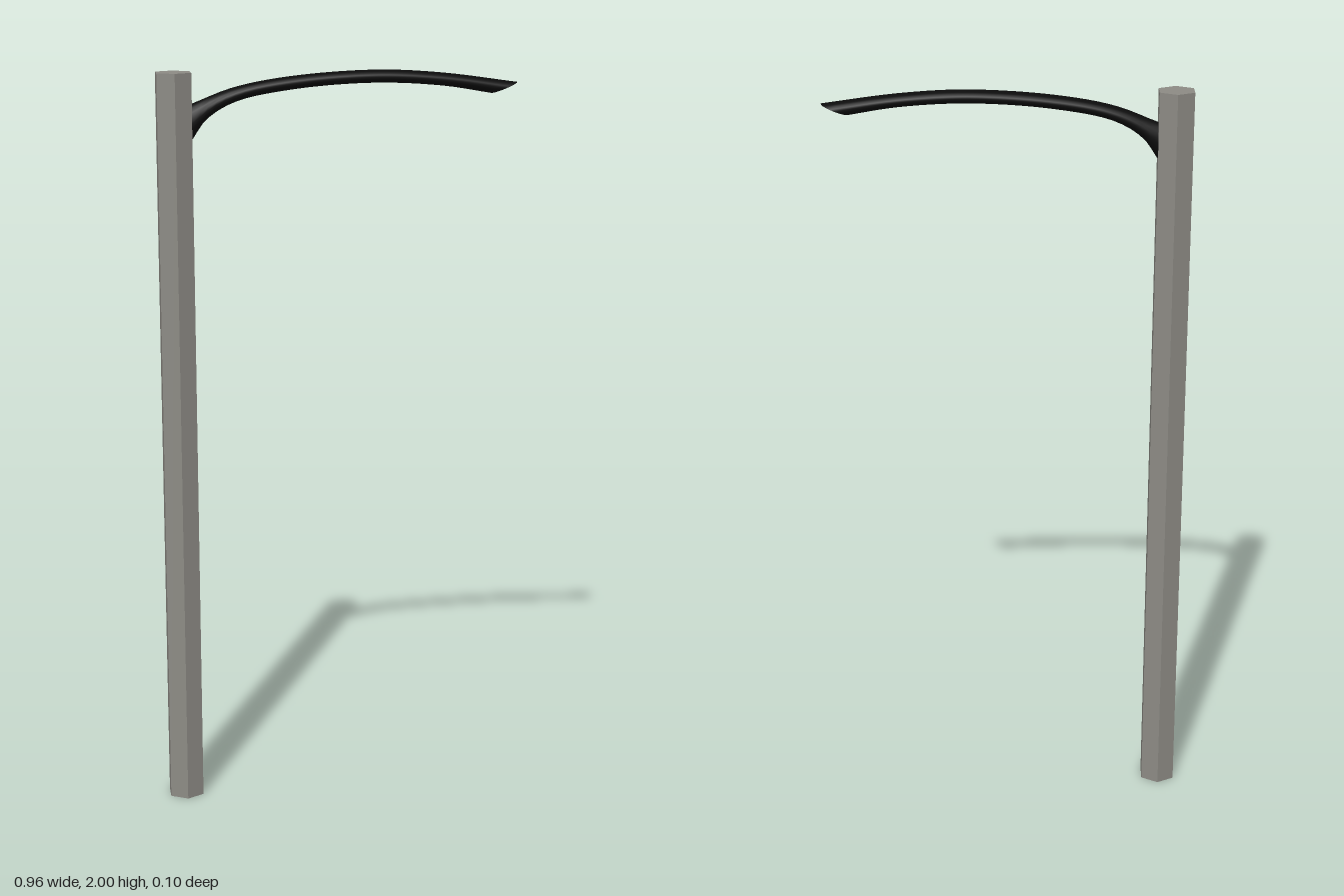
import * as THREE from 'three';

const SIDES = 20, STEPS = 32, HALF_WIDTH = 0.028;

// Smooth curve through a few side-profile points
const profile = (pts) =>
  new THREE.CatmullRomCurve3(pts.map(([x, y]) => new THREE.Vector3(x, y, 0)), false, 'centripetal');

// Curved arm: elliptical rings spanning an upper and a lower profile line
function armGeometry() {
  const upper = profile([[-0.39, 1.918], [-0.28, 1.959], [-0.13, 1.986], [0.1, 2], [0.275, 1.99], [0.475, 1.963]]);
  const lower = profile([[-0.39, 1.822], [-0.352, 1.876], [-0.28, 1.92], [-0.13, 1.951], [0.09, 1.966], [0.275, 1.956], [0.405, 1.935]]);
  // parameters are matched so that both lines advance together
  const pos = [], index = [];
  for (let i = 0; i <= STEPS; i++) {
    const t = i / STEPS;
    const top = upper.getPointAt(t), bottom = lower.getPointAt(t);
    const mid = top.clone().add(bottom).multiplyScalar(0.5);
    const half = top.sub(bottom).multiplyScalar(0.5);
    for (let j = 0; j < SIDES; j++) {
      const a = (j / SIDES) * Math.PI * 2;
      const c = Math.cos(a);
      pos.push(mid.x + half.x * c, mid.y + half.y * c, HALF_WIDTH * Math.sin(a));
    }
  }
  for (let i = 0; i < STEPS; i++) {
    for (let j = 0; j < SIDES; j++) {
      const a = i * SIDES + j, b = i * SIDES + (j + 1) % SIDES;
      index.push(a, b, a + SIDES, b, b + SIDES, a + SIDES);
    }
  }
  // end caps with their own vertices, so the rims stay sharp
  const last = STEPS * SIDES * 3;
  const rims = [pos.slice(0, SIDES * 3), pos.slice(last, last + SIDES * 3)];
  rims.forEach((rim, end) => {
    const base = pos.length / 3;
    pos.push(...rim);
    for (let j = 1; j < SIDES - 1; j++) {
      if (end) index.push(base, base + j, base + j + 1);
      else index.push(base, base + j + 1, base + j);
    }
  });
  const geo = new THREE.BufferGeometry();
  geo.setAttribute('position', new THREE.Float32BufferAttribute(pos, 3));
  geo.setIndex(index);
  geo.computeVertexNormals();
  return geo;
}

export function createModel() {
  const group = new THREE.Group();
  group.name = 'postWithArm';

  const grey = new THREE.MeshStandardMaterial({ color: 0x8e8c86, flatShading: true });
  grey.name = 'postGrey';
  const black = new THREE.MeshStandardMaterial({ color: 0x0b0b0b });
  black.name = 'armBlack';

  // Hexagonal post with flat sides facing left and right
  const post = new THREE.Mesh(new THREE.CylinderGeometry(0.052, 0.052, 2, 6), grey);
  post.name = 'post';
  post.position.set(-0.435, 1, 0);
  group.add(post);

  const arm = new THREE.Mesh(armGeometry(), black);
  arm.name = 'arm';
  group.add(arm);

  return group;
}
